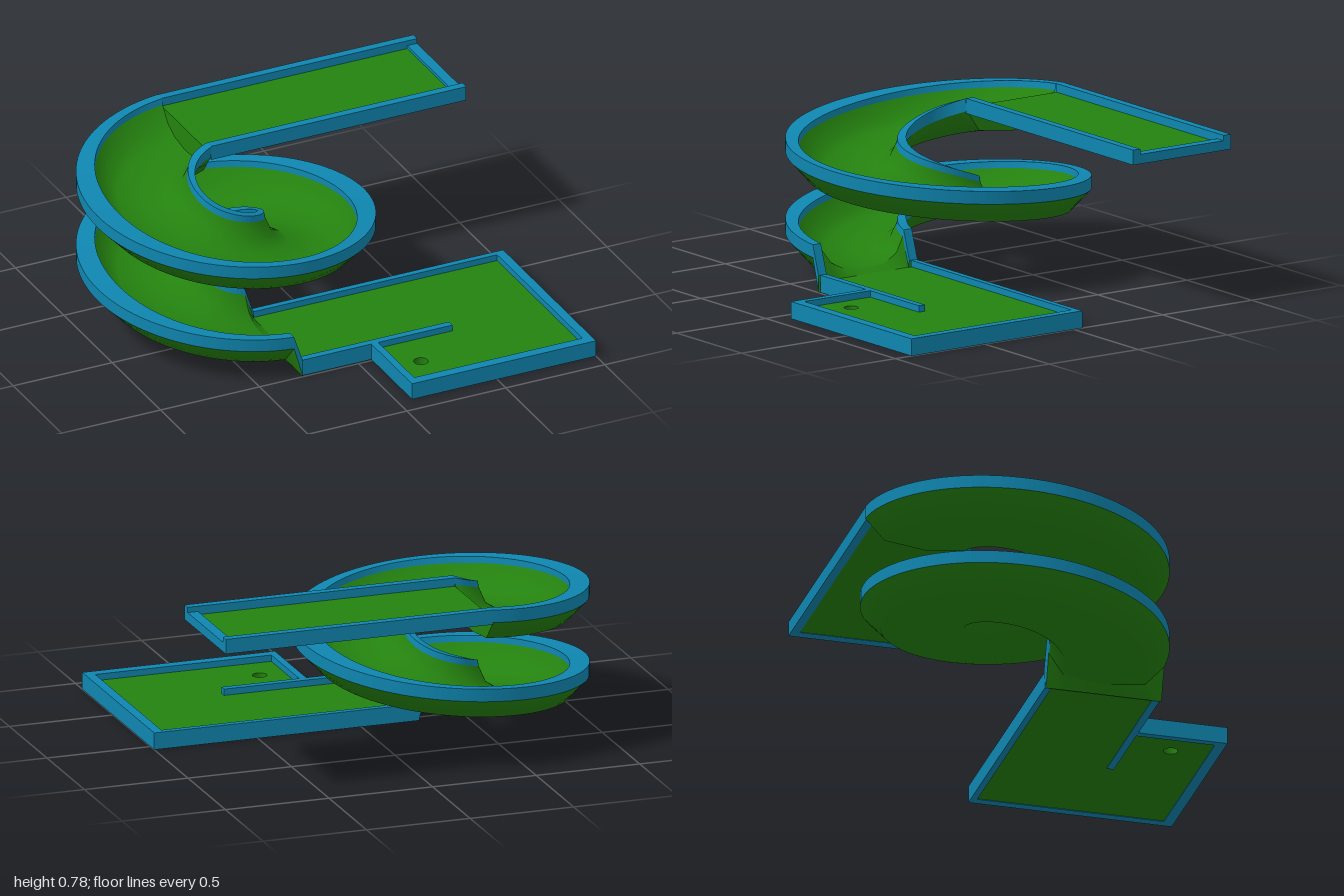
import * as THREE from 'three';

const green = new THREE.MeshStandardMaterial({ color: 0x24820f, side: THREE.DoubleSide });
green.name = 'turfGreen';
const blue = new THREE.MeshStandardMaterial({ color: 0x0f86b0, side: THREE.DoubleSide });
blue.name = 'borderBlue';

const CX = -0.325, CZ = -0.205;      // spiral axis
const TOP = 0.78, DROP = 0.565;      // rim height at the start, total fall
const TURN = Math.PI * 3;            // one and a half turns

// Profile points: [radius at the sides, radius at front/back, depth below rim, height at exit]
const innerRim = [[0.15, 0.16, 0.06, 0], [0.138, 0.15, 0, 0.08], [0.165, 0.195, 0, 0.08], [0.17, 0.2, 0.03, 0.05]];
const channel = [
  [0.17, 0.2, 0.03, 0.05], [0.2, 0.235, 0.1, 0.05], [0.27, 0.3, 0.14, 0.05], [0.38, 0.42, 0.15, 0.05],
  [0.48, 0.53, 0.135, 0.05], [0.54, 0.6, 0.1, 0.05], [0.575, 0.655, 0.03, 0.05],
];
const outerRim = [[0.575, 0.655, 0.03, 0.05], [0.575, 0.66, 0, 0.08], [0.675, 0.705, 0, 0.08], [0.675, 0.705, 0.06, 0]];
const underside = [
  [0.675, 0.705, 0.06, 0], [0.58, 0.615, 0.16, 0], [0.4, 0.42, 0.185, 0], [0.23, 0.23, 0.16, 0], [0.15, 0.16, 0.06, 0],
];

function spiralPoint([rSide, rFront, depth], a) {
  const s = Math.sin(a);
  const r = rFront + (rSide - rFront) * s * s;
  return [CX - r * s, TOP - DROP * a / TURN - depth, CZ - r * Math.cos(a)];
}

const exitPoint = ([, rFront, , y]) => [-0.28, y, CZ + rFront];

// Skin joining a row of cross-sections
function skin(sections) {
  const n = sections[0].length, index = [];
  for (let i = 0; i < sections.length - 1; i++) {
    for (let j = 0; j < n - 1; j++) {
      const a = i * n + j, c = a + n;
      index.push(a, a + 1, c, a + 1, c + 1, c);
    }
  }
  const g = new THREE.BufferGeometry();
  g.setAttribute('position', new THREE.Float32BufferAttribute(sections.flat(2), 3));
  g.setIndex(index);
  g.computeVertexNormals();
  return g;
}

function add(parent, name, geometry, material) {
  const m = new THREE.Mesh(geometry, material);
  m.name = name;
  parent.add(m);
  return m;
}

// Box given by its limits
function block(parent, name, material, x0, x1, y0, y1, z0, z1) {
  const m = add(parent, name, new THREE.BoxGeometry(x1 - x0, y1 - y0, z1 - z0), material);
  m.position.set((x0 + x1) / 2, (y0 + y1) / 2, (z0 + z1) / 2);
}

function sweep(parent, name, profile, material) {
  const sections = [];
  for (let i = 0; i <= 144; i++) sections.push(profile.map(p => spiralPoint(p, TURN * i / 144)));
  add(parent, name, skin(sections), material);
  // short drop from the spiral's end to the lower deck
  const drop = [profile.map(p => spiralPoint(p, TURN)), profile.map(exitPoint)];
  add(parent, name + 'Exit', skin(drop), material);
}

export function createModel() {
  const model = new THREE.Group();
  model.name = 'spiralGolfLane';

  // Spiral channel with its two rims
  const spiral = new THREE.Group();
  spiral.name = 'spiral';
  model.add(spiral);
  sweep(spiral, 'channelFloor', channel, green);
  sweep(spiral, 'channelUnderside', underside, green);
  for (const [name, rim] of [['innerRim', innerRim], ['outerRim', outerRim]]) {
    // one strip per face keeps the rim edges sharp
    for (let i = 0; i < rim.length - 1; i++) sweep(spiral, name, rim.slice(i, i + 2), blue);
  }

  // Wall closing the channel below the upper deck
  const cap = new THREE.Shape([
    ...underside.map(p => new THREE.Vector2(CZ - p[1], TOP - p[2])),
    new THREE.Vector2(CZ - 0.17, 0.735), new THREE.Vector2(CZ - 0.69, 0.735),
  ]);
  const capMesh = add(spiral, 'startWall', new THREE.ShapeGeometry(cap), green);
  capMesh.rotation.y = -Math.PI / 2;
  capMesh.position.x = CX;

  // Upper deck
  const upper = new THREE.Group();
  upper.name = 'upperDeck';
  model.add(upper);
  block(upper, 'upperFloor', green, CX, 0.915, 0.712, 0.74, -0.868, -0.4);
  block(upper, 'upperBackWall', blue, CX, 0.965, 0.71, 0.78, -0.908, -0.868);
  block(upper, 'upperFrontWall', blue, CX, 0.965, 0.71, 0.78, -0.4, -0.36);
  block(upper, 'upperEndStrip', blue, 0.915, 0.965, 0.71, 0.755, -0.868, -0.4);

  // Lower deck: L-shaped floor with the cup hole
  const lower = new THREE.Group();
  lower.name = 'lowerDeck';
  model.add(lower);
  const outline = [[-0.28, -0.02], [0.955, -0.02], [0.955, 0.86], [0.105, 0.86], [0.105, 0.475], [-0.28, 0.475]];
  const floor = new THREE.Shape(outline.map(([x, z]) => new THREE.Vector2(x, -z)));
  const hole = new THREE.Path();
  hole.absarc(0.225, -0.685, 0.033, 0, Math.PI * 2, true);
  floor.holes.push(hole);
  const floorGeo = new THREE.ExtrudeGeometry(floor, { depth: 0.047, bevelEnabled: false, curveSegments: 24 });
  floorGeo.rotateX(-Math.PI / 2);
  add(lower, 'lowerFloor', floorGeo, green).position.y = 0.003;

  // Lower deck walls
  block(lower, 'lowerBackWall', blue, -0.28, 1, 0, 0.08, -0.05, -0.02);
  block(lower, 'lowerRightWall', blue, 0.955, 1, 0, 0.08, -0.02, 0.91);
  block(lower, 'lowerFrontWall', blue, 0.07, 0.955, 0, 0.08, 0.86, 0.91);
  block(lower, 'lowerLeftWall', blue, 0.07, 0.105, 0, 0.08, 0.49, 0.86);
  block(lower, 'laneDivider', blue, -0.28, 0.48, 0, 0.08, 0.455, 0.49);

  return model;
}
